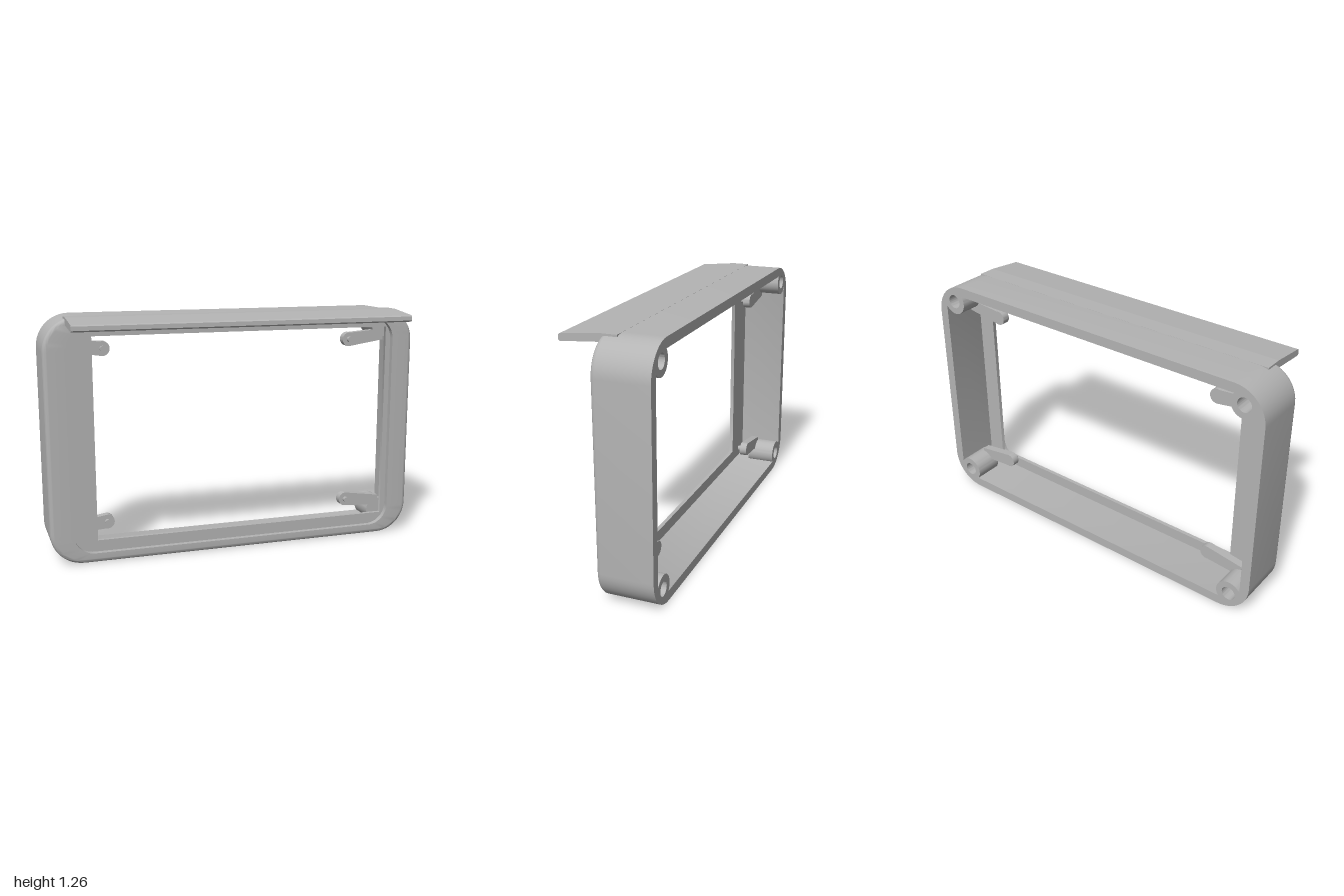
import * as THREE from 'three';
import { toCreasedNormals } from 'three/addons/utils/BufferGeometryUtils.js';

const CY = 0.6315; // mid height of the case

// Counter-clockwise rounded rectangle at depth z
function ring([cx, cy, hx, hy, r, z]) {
  const pts = [];
  const n = 12;
  const corners = [[1, -1], [1, 1], [-1, 1], [-1, -1]];
  corners.forEach(([sx, sy], c) => {
    for (let i = 0; i <= n; i++) {
      const a = -Math.PI / 2 + (c + i / n) * Math.PI / 2;
      pts.push([cx + sx * (hx - r) + r * Math.cos(a), cy + sy * (hy - r) + r * Math.sin(a), z]);
    }
  });
  return pts;
}

// Skin a closed loop of rings
function loft(sections) {
  const rings = sections.map(ring);
  const n = rings[0].length;
  const index = [];
  rings.forEach((_, i) => {
    const a = i * n;
    const b = ((i + 1) % rings.length) * n;
    for (let j = 0; j < n; j++) {
      const k = (j + 1) % n;
      index.push(a + j, a + k, b + k, a + j, b + k, b + j);
    }
  });
  const geo = new THREE.BufferGeometry();
  geo.setAttribute('position', new THREE.Float32BufferAttribute(rings.flat(2), 3));
  geo.setIndex(index);
  return toCreasedNormals(geo, 0.6);
}

function extrude(shape, z0, z1) {
  const geo = new THREE.ExtrudeGeometry(shape, { depth: z1 - z0, bevelEnabled: false, curveSegments: 24 });
  return toCreasedNormals(geo.translate(0, 0, z0), 0.6);
}

export function createModel() {
  const model = new THREE.Group();
  const grey = new THREE.MeshStandardMaterial({ color: 0xb4b4b4 });
  grey.name = 'casing grey';
  const add = (name, geo, parent = model) => {
    const mesh = new THREE.Mesh(geo, grey);
    mesh.name = name;
    parent.add(mesh);
    return mesh;
  };

  // Case: outer wall, rounded front edge, recessed window lip, rear cavity
  const sections = [[0, CY, 1, CY, 0.17, -0.245]];
  const f = 0.022;
  for (let i = 0; i <= 6; i++) {
    const a = (i / 6) * Math.PI / 2;
    const inset = f * (1 - Math.cos(a));
    sections.push([0, CY, 1 - inset, CY - inset, 0.17 - inset, 0.04 - f + f * Math.sin(a)]);
  }
  sections.push(
    [0, CY, 0.883, 0.581, 0.11, 0.04],
    [0, CY, 0.883, 0.581, 0.11, 0.012],
    [0.05, 0.6375, 0.805, 0.5275, 0.001, 0.012],
    [0.05, 0.6375, 0.805, 0.5275, 0.001, -0.008],
    [0, CY, 0.95, 0.5815, 0.02, -0.008],
    [0, CY, 0.95, 0.5815, 0.02, -0.245],
  );
  add('case', loft(sections));

  // Hood: sloping visor profile (z, y) swept across the width
  const profile = [
    [-0.04, 1.2635], [0.05, 1.2635], [0.238, 1.244], [0.244, 1.238], [0.245, 1.217],
    [0.238, 1.21], [0.04, 1.225], [0.03, 1.24], [-0.04, 1.25],
  ];
  const hoodShape = new THREE.Shape(profile.map(([z, y]) => new THREE.Vector2(z, y)));
  const hood = new THREE.ExtrudeGeometry(hoodShape, { depth: 1.77, bevelEnabled: false });
  hood.rotateY(-Math.PI / 2).translate(0.885, 0, 0);
  add('hood', toCreasedNormals(hood, 0.05));

  // Corner fittings: screw boss with a blind hole, and an arm with a pin
  for (const sx of [-1, 1]) {
    for (const sy of [-1, 1]) {
      const corner = new THREE.Group();
      corner.name = `${sy > 0 ? 'upper' : 'lower'}${sx > 0 ? 'Left' : 'Right'}Mount`;
      model.add(corner);
      const place = (x, y) => new THREE.Vector2(sx * x, CY + sy * (CY - y));

      const c = place(0.89, 0.092);
      const boss = new THREE.Shape().absarc(c.x, c.y, 0.07, 0, Math.PI * 2);
      boss.holes.push(new THREE.Path().absarc(c.x, c.y, 0.037, 0, Math.PI * 2, true));
      add('screwBoss', extrude(boss, -0.245, -0.09), corner);
      const floor = new THREE.Shape().absarc(c.x, c.y, 0.05, 0, Math.PI * 2);
      add('holeFloor', extrude(floor, -0.12, -0.091), corner);

      const outline = [place(0.89, 0.12), place(0.89, 0.18)];
      for (let i = 0; i <= 16; i++) {
        const a = THREE.MathUtils.degToRad(75 + (i / 16) * 210);
        outline.push(place(0.685 + 0.038 * Math.cos(a), 0.173 + 0.038 * Math.sin(a)));
      }
      add('arm', extrude(new THREE.Shape(outline), -0.13, -0.09), corner);

      const p = place(0.685, 0.173);
      const pin = new THREE.CylinderGeometry(0.015, 0.015, 0.03, 20).rotateX(Math.PI / 2);
      add('pin', pin, corner).position.set(p.x, p.y, -0.085);
    }
  }
  return model;
}
